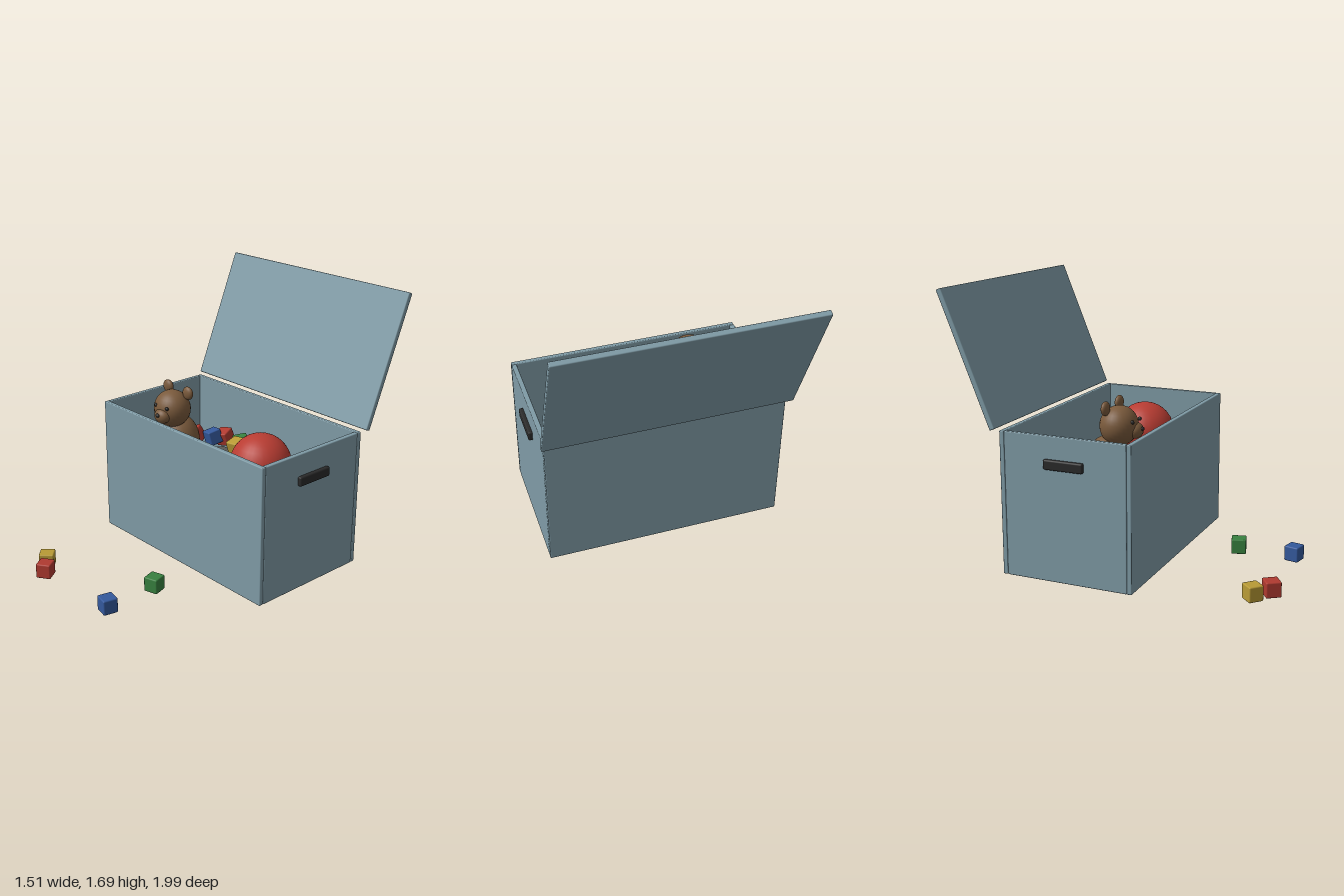
import * as THREE from 'three';
import { RoundedBoxGeometry } from 'three/addons/geometries/RoundedBoxGeometry.js';

const material = (color, extra = {}) => new THREE.MeshStandardMaterial({ color, ...extra });
const wood = material(0x7f9ba6);
const black = material(0x2a2a2a);
const fur = material(0x7a5a3c);
const paint = {
  red: material(0xb03a30), yellow: material(0xb89a35),
  green: material(0x38803f), blue: material(0x34599c),
};

function add(parent, name, geometry, mat, position, rotation = [0, 0, 0]) {
  const mesh = new THREE.Mesh(geometry, mat);
  mesh.name = name;
  mesh.position.set(...position);
  mesh.rotation.set(...rotation);
  parent.add(mesh);
  return mesh;
}

function panel(parent, name, size, position, rotation, mat = wood, radius = 0.006) {
  return add(parent, name, new RoundedBoxGeometry(...size, 2, radius), mat, position, rotation);
}

function ball(parent, name, radii, position, mat = fur, rotation) {
  const mesh = add(parent, name, new THREE.SphereGeometry(1, 28, 18), mat, position, rotation);
  mesh.scale.set(...radii);
  return mesh;
}

// Open box with its lid leaning back behind it
function makeChest() {
  const chest = new THREE.Group();
  chest.name = 'chest';
  panel(chest, 'frontPanel', [1.46, 0.88, 0.03], [0, 0.44, 0.195]);
  panel(chest, 'backPanel', [1.46, 0.88, 0.03], [0, 0.44, -0.61]);
  panel(chest, 'bottomPanel', [1.4, 0.03, 0.775], [0, 0.035, -0.2075]);
  for (const side of [-1, 1]) {
    panel(chest, 'sidePanel', [0.03, 0.88, 0.775], [side * 0.715, 0.44, -0.2075]);
    panel(chest, 'handle', [0.03, 0.06, 0.25], [side * 0.74, 0.715, -0.205], [0, 0, 0], black, 0.01);
  }
  panel(chest, 'lid', [1.51, 0.86, 0.034], [0, 1.283, -0.82], [-0.388, 0, 0]);
  return chest;
}

// Coarse mound: one outline repeated at several heights and closed by a peak
function makeHeap() {
  const outline = [
    [0, 0.165], [0.34, 0.06], [0.59, -0.18], [0.61, -0.32], [0.57, -0.44], [0, -0.55],
    [-0.41, -0.53], [-0.5, -0.36], [-0.58, -0.2], [-0.38, 0.09],
  ];
  const levels = [[0.94, 0.06], [1, 0.33], [0.85, 0.47], [0.5, 0.57]];
  const n = outline.length;
  const points = [];
  const faces = [];
  for (const [s, y] of levels) {
    for (const [x, z] of outline) points.push(x * s, y, -0.19 + (z + 0.19) * s);
  }
  for (let r = 0; r < levels.length - 1; r++) {
    for (let i = 0; i < n; i++) {
      const a = r * n + i, b = r * n + (i + 1) % n;
      faces.push(a, b, b + n, a, b + n, a + n);
    }
  }
  const top = levels.length * n;
  points.push(0, 0.61, -0.19);
  for (let i = 0; i < n; i++) faces.push(top - n + i, top - n + (i + 1) % n, top);
  const geometry = new THREE.BufferGeometry();
  geometry.setAttribute('position', new THREE.Float32BufferAttribute(points, 3));
  geometry.setIndex(faces);
  geometry.computeVertexNormals();
  return geometry;
}

// Plush bear sitting in the heap
function makeBear() {
  const bear = new THREE.Group();
  bear.name = 'bear';
  ball(bear, 'body', [0.155, 0.175, 0.14], [-0.367, 0.645, -0.1]);
  ball(bear, 'head', [0.123, 0.12, 0.115], [-0.343, 0.88, -0.04]);
  ball(bear, 'muzzle', [0.058, 0.048, 0.045], [-0.325, 0.855, 0.058]);
  ball(bear, 'nose', [0.016, 0.012, 0.012], [-0.322, 0.868, 0.1], black);
  for (const side of [-1, 1]) {
    ball(bear, 'ear', [0.043, 0.043, 0.023], [-0.338 + side * 0.095, 0.995, -0.085]);
    ball(bear, 'eye', [0.012, 0.012, 0.012], [-0.328 + side * 0.053, 0.915, 0.062], black);
    ball(bear, 'arm', [0.042, 0.09, 0.05], [-0.37 + side * 0.165, 0.655, 0], fur, [-0.5, 0, side * 0.35]);
    ball(bear, 'leg', [0.055, 0.055, 0.09], [-0.36 + side * 0.085, 0.52, 0.03]);
  }
  return bear;
}

export function createModel() {
  const model = new THREE.Group();
  model.name = 'toyChest';
  model.add(makeChest());
  add(model, 'toyHeap', makeHeap(), material(0x666460, { side: THREE.DoubleSide }), [0, 0, 0]);
  model.add(makeBear());
  ball(model, 'playBall', [0.19, 0.19, 0.19], [0.335, 0.675, -0.17], material(0xb83c32));

  // Toy blocks: colour, position, rotation
  const blocks = [
    ['green', [0.17, 0.047, 0.545], [0, 0.3, 0]],
    ['blue', [0.178, 0.047, 0.9], [0, -0.21, 0]],
    ['red', [-0.41, 0.047, 0.935], [0, 0.6, 0]],
    ['yellow', [-0.51, 0.047, 0.855], [0, -0.75, 0]],
    ['yellow', [-0.005, 0.65, -0.29], [0.25, 0.05, 0.1]],
    ['green', [-0.1, 0.61, -0.42], [0.2, -0.6, 0.1]],
    ['blue', [-0.325, 0.6, -0.375], [0.2, -0.2, 0.2]],
    ['red', [-0.29, 0.59, -0.45], [0.3, 0.25, 0.1]],
    ['red', [-0.425, 0.6, -0.31], [0.3, 0.5, 0.3]],
    ['red', [-0.465, 0.54, -0.28], [0.1, 0.6, 0.4]],
    ['yellow', [0.53, 0.52, -0.065], [0.2, 0.4, -0.2]],
    ['blue', [0.48, 0.52, -0.2], [0.1, 0.2, 0.1]],
  ];
  for (const [color, position, rotation] of blocks) {
    panel(model, color + 'Block', [0.092, 0.094, 0.092], position, rotation, paint[color], 0.008);
  }
  return model;
}
